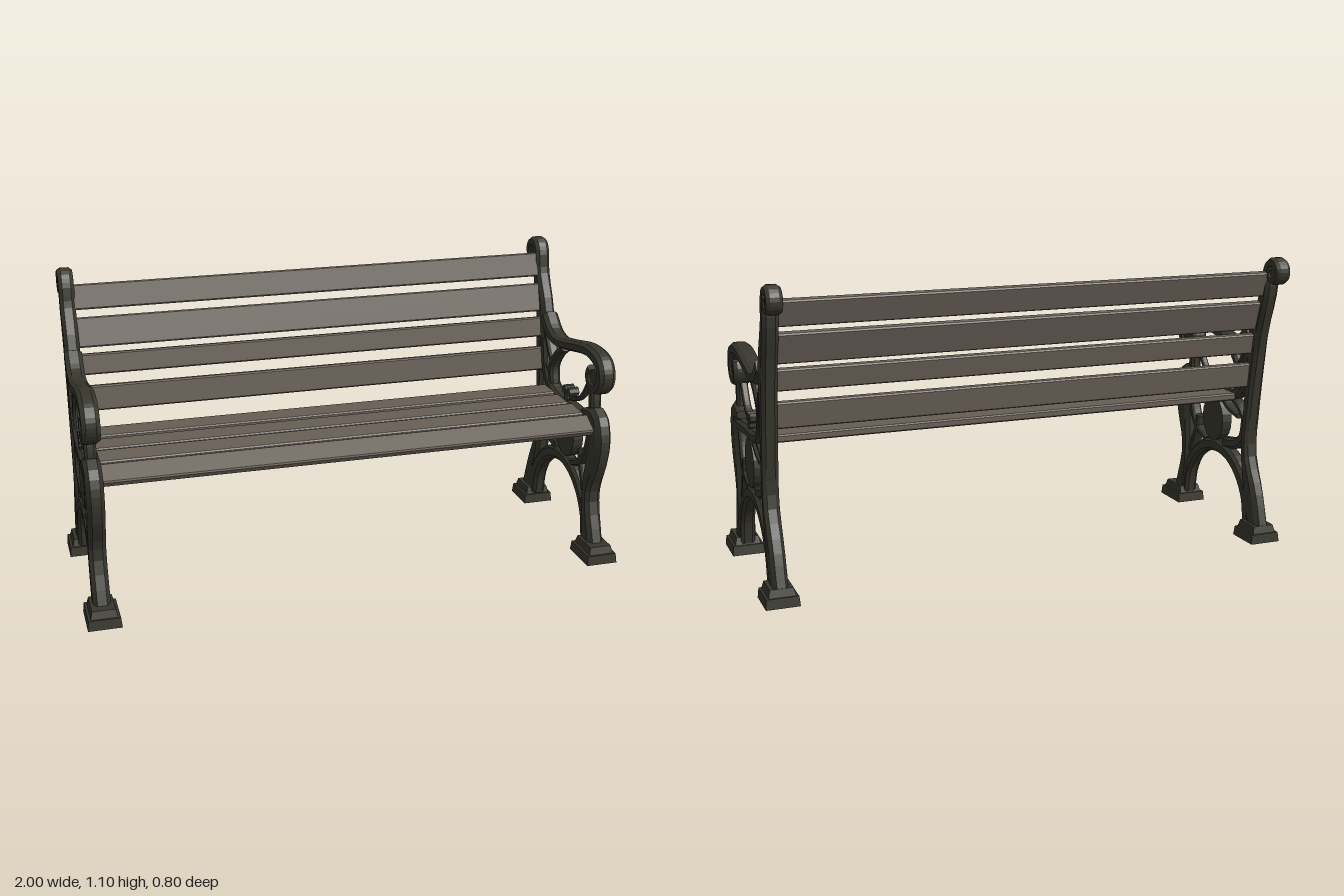
import * as THREE from 'three';

const iron = new THREE.MeshStandardMaterial({ color: 0x37362d });
iron.name = 'dark cast iron';
const wood = new THREE.MeshStandardMaterial({ color: 0x675e55 });
wood.name = 'weathered wood';

const FRAME_X = 0.938;
const DEPTH = 0.056;

function addMesh(parent, name, geometry, material) {
  const flat = geometry.index ? geometry.toNonIndexed() : geometry;
  flat.computeVertexNormals();
  const mesh = new THREE.Mesh(flat, material);
  mesh.name = name;
  parent.add(mesh);
  return mesh;
}

// Arc or spiral in the z-y plane as [z, y, width] points; pairs give start and end values
function spiral(z, y, [a0, a1], [r0, r1], [w0, w1], count) {
  return Array.from({ length: count + 1 }, (_, i) => {
    const t = i / count, a = THREE.MathUtils.lerp(a0, a1, t), r = THREE.MathUtils.lerp(r0, r1, t);
    return [z + r * Math.cos(a), y + r * Math.sin(a), THREE.MathUtils.lerp(w0, w1, t)];
  });
}

// Chamfered bar swept along a smooth path of [z, y, width] points
function bar(points, depth, width) {
  const path = new THREE.CatmullRomCurve3(points.map(([z, y, w = width]) => new THREE.Vector3(w, y, z)), false, 'centripetal');
  const section = [[1, -0.55], [1, 0.55], [0.55, 1], [-0.55, 1], [-1, 0.55], [-1, -0.55], [-0.55, -1], [0.55, -1]];
  const n = section.length, steps = points.length * 3, pos = [], index = [];
  for (let i = 0; i <= steps; i++) {
    const u = i / steps;
    const p = path.getPoint(u);
    const a = path.getPoint(Math.max(0, u - 0.005)), b = path.getPoint(Math.min(1, u + 0.005));
    const len = Math.hypot(b.y - a.y, b.z - a.z);
    const ty = (b.y - a.y) / len, tz = (b.z - a.z) / len;
    for (const [s, x] of section) {
      pos.push(x * depth / 2, p.y - tz * s * p.x / 2, p.z + ty * s * p.x / 2);
    }
  }
  for (let i = 0; i < steps; i++) {
    for (let j = 0; j < n; j++) {
      const a = i * n + j, b = i * n + (j + 1) % n;
      index.push(a, b, b + n, a, b + n, a + n);
    }
  }
  const e = steps * n;
  for (let j = 1; j < n - 1; j++) index.push(0, j + 1, j, e, e + j, e + j + 1);
  const geo = new THREE.BufferGeometry();
  geo.setAttribute('position', new THREE.Float32BufferAttribute(pos, 3));
  geo.setIndex(index);
  return geo;
}

// Disc facing sideways
function disc(z, y, rz, ry, depth, sides) {
  return new THREE.CylinderGeometry(1, 1, depth, sides).rotateZ(Math.PI / 2).scale(depth ? 1 : 0, ry, rz).translate(0, y, z);
}

// Block narrowing towards the top
function plinth(z, y, lengthZ, height, widthX, taper) {
  const geo = new THREE.BoxGeometry(widthX, height, lengthZ);
  const p = geo.attributes.position;
  for (let i = 0; i < p.count; i++) {
    if (p.getY(i) > 0) p.setXYZ(i, p.getX(i) * taper, p.getY(i), p.getZ(i) * taper);
  }
  return geo.translate(0, y + height / 2, z);
}

function sideFrame(name) {
  const g = new THREE.Group();
  g.name = name;
  const addBar = (part, points, depth, width) => addMesh(g, part, bar(points, depth, width), iron);

  // Main structure
  addBar('backPost', [
    [-0.284, 0.05, 0.085], [-0.245, 0.17, 0.085], [-0.197, 0.33, 0.04], [-0.205, 0.5, 0.044],
    [-0.225, 0.71, 0.065], [-0.237, 0.82, 0.085], [-0.293, 0.97, 0.052],
    ...spiral(-0.345, 1.045, [0, Math.PI * 2.3], [0.043, 0.02], [0.042, 0.024], 8),
  ], DEPTH);
  addBar('frontLeg', [
    [0.3, 0.05, 0.1], [0.266, 0.24, 0.05], [0.298, 0.39, 0.1], [0.31, 0.47, 0.1], [0.285, 0.545, 0.085], [0.2, 0.55, 0.03],
  ], DEPTH + 0.006);
  addBar('legArch', spiral(0.02, 0.05, [0, Math.PI], [0.25, 0.25], [0.044, 0.06], 8), DEPTH - 0.004);
  addBar('seatRail', [[0.28, 0.5], [0.1, 0.517], [-0.08, 0.53], [-0.155, 0.585], [-0.195, 0.72]], DEPTH - 0.002, 0.042);
  addBar('armrest', [
    [-0.2, 0.81, 0.06], [-0.13, 0.758, 0.05], [-0.06, 0.746, 0.042], [0.02, 0.758, 0.04], [0.19, 0.79, 0.044],
    ...spiral(0.268, 0.715, [Math.PI / 2, -Math.PI * 1.2], [0.068, 0.034], [0.05, 0.036], 8),
  ], DEPTH + 0.008);

  // Thin ornament: name, width, path
  const ornaments = [
    ['armNeck', 0.034, [[0.25, 0.57], [0.25, 0.61], [0.24, 0.67]]],
    ['armBrace', 0.03, [[-0.02, 0.735], [-0.08, 0.69], [-0.12, 0.63], [-0.11, 0.555]]],
    ['armBraceTwig', 0.022, [[-0.11, 0.64], [-0.145, 0.69], [-0.19, 0.755]]],
    ['armBraceTwig', 0.022, [[-0.12, 0.6], [-0.18, 0.64]]],
    ['frontBrace', 0.028, [[0.25, 0.5], [0.235, 0.42], [0.195, 0.345], [0.11, 0.305]]],
    ['frontBraceLeaf', 0.026, [[0.18, 0.39], [0.19, 0.34], [0.24, 0.23]]],
    ['rearBrace', 0.044, [[-0.18, 0.45], [-0.165, 0.38], [-0.125, 0.345], [-0.03, 0.325]]],
    ['rearLeaf', 0.022, [[-0.01, 0.5], [-0.06, 0.472], [-0.13, 0.455]]],
    ['rearTwig', 0.022, [[-0.09, 0.515], [-0.14, 0.49], [-0.19, 0.44]]],
  ];
  for (const [part, width, path] of ornaments) addBar(part, path, DEPTH - 0.014, width);
  addBar('vine', [[0.205, 0.665], [0.15, 0.592], [0.09, 0.56], [0.03, 0.55]], 0.026, 0.018);

  // Medallion, scroll centres and a small flower on the seat rail
  addMesh(g, 'medallion', disc(0.053, 0.408, 0.08, 0.092, 0.04, 20), iron);
  addMesh(g, 'topScrollCentre', disc(-0.348, 1.048, 0.034, 0.034, 0.046, 10), iron);
  addMesh(g, 'armScrollCentre', disc(0.275, 0.71, 0.032, 0.032, 0.05, 8), iron);
  for (const a of [0.5, 2.64, 4.71]) {
    addMesh(g, 'flowerPetal', disc(0.04 + 0.021 * Math.cos(a), 0.57 + 0.018 * Math.sin(a), 0.018, 0.018, 0.04, 7), iron);
  }

  // Stepped feet
  for (const [z, length] of [[0.322, 0.158], [-0.275, 0.138]]) {
    addMesh(g, 'footBase', plinth(z, 0, length, 0.036, 0.12, 0.94), iron);
    addMesh(g, 'footStep', plinth(z, 0.034, length * 0.86, 0.03, 0.096, 0.86), iron);
  }
  return g;
}

// Board with lightly chamfered long edges
function slat(width, thickness, length) {
  const w = width / 2, t = thickness / 2, c = 0.005;
  const shape = new THREE.Shape([[w, -t + c], [w, t - c], [w - c, t], [-w + c, t], [-w, t - c], [-w, -t + c], [-w + c, -t], [w - c, -t]]
    .map(([x, y]) => new THREE.Vector2(x, y)));
  return new THREE.ExtrudeGeometry(shape, { depth: length, bevelEnabled: false })
    .translate(0, 0, -length / 2).rotateY(Math.PI / 2);
}

export function createModel() {
  const model = new THREE.Group();
  model.name = 'parkBench';

  for (const side of [1, -1]) {
    const frame = sideFrame(side > 0 ? 'leftFrame' : 'rightFrame');
    frame.position.x = side * FRAME_X;
    model.add(frame);
  }

  // Boards: name, z, y, width, tilt, length
  const boards = [
    ['seatSlat', -0.085, 0.535, 0.1, 0, 1.81],
    ['seatSlat', 0.04, 0.535, 0.1, 0, 1.81],
    ['seatSlat', 0.17, 0.54, 0.1, 0.06, 1.81],
    ['seatFrontSlat', 0.278, 0.524, 0.084, 0.52, 1.85],
    ['backSlat', -0.205, 0.637, 0.094, 1.45, 1.84],
    ['backSlat', -0.225, 0.763, 0.078, 1.4, 1.84],
    ['backSlat', -0.255, 0.876, 0.112, 1.28, 1.84],
    ['backSlat', -0.296, 1.0, 0.094, 1.3, 1.84],
  ];
  for (const [name, z, y, width, tilt, length] of boards) {
    const board = addMesh(model, name, slat(width, 0.028, length), wood);
    board.position.set(0, y, z);
    board.rotation.x = tilt;
  }
  return model;
}
